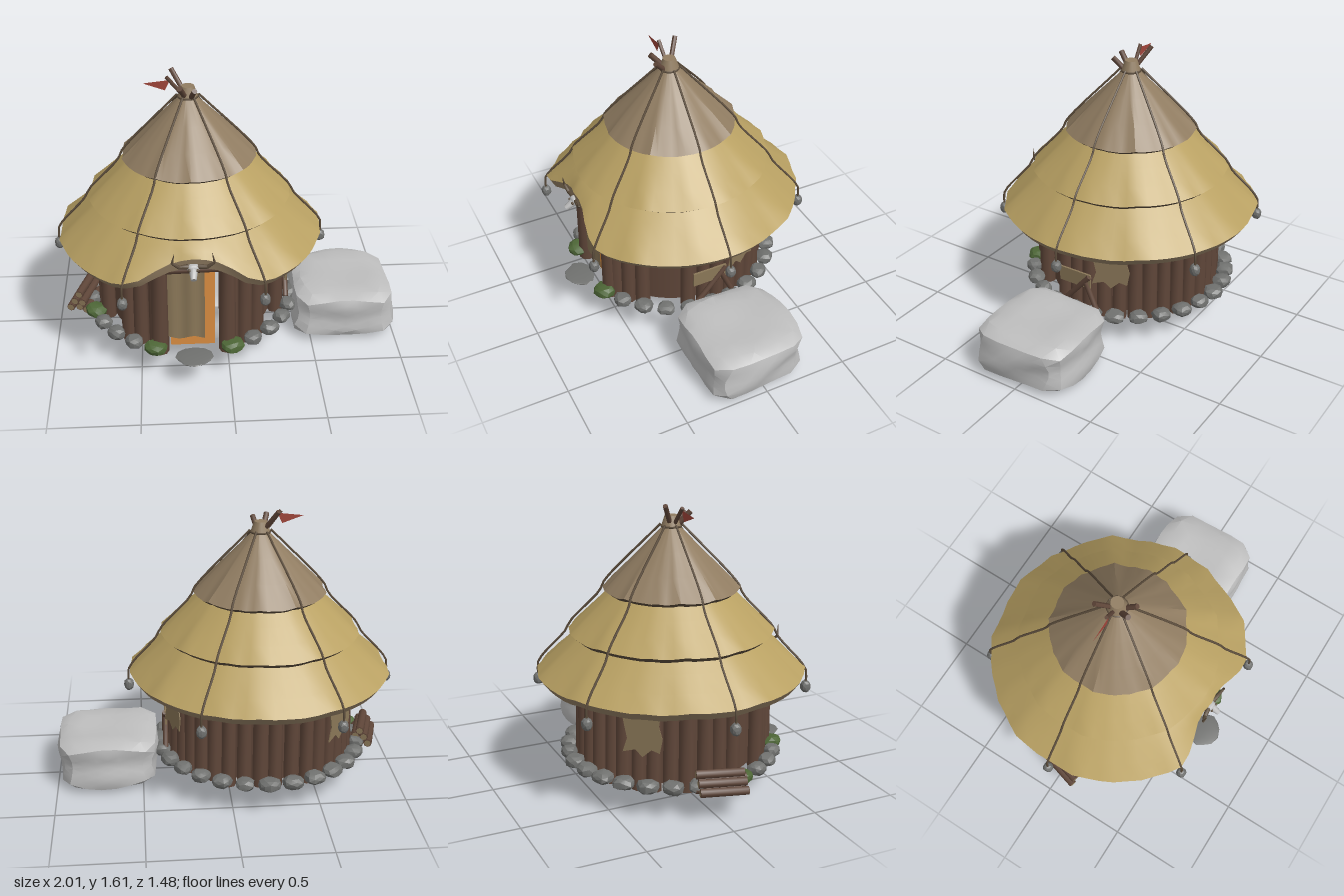
import * as THREE from 'three';
import { mergeVertices, toCreasedNormals } from 'three/addons/utils/BufferGeometryUtils.js';

const mat = (name, color, side = THREE.FrontSide) => {
  const m = new THREE.MeshStandardMaterial({ color, side });
  m.name = name;
  return m;
};

export function createModel() {
  const straw = mat('straw', 0xb9a163, THREE.DoubleSide);
  const oldThatch = mat('old thatch', 0x917d62, THREE.DoubleSide);
  const wood = mat('log wood', 0x5f4639, THREE.DoubleSide);
  const darkWood = mat('dark wood and rope', 0x5c4d3c, THREE.DoubleSide);
  const stone = mat('stone', 0x70716f);
  const moss = mat('moss', 0x4d6636);
  const paleRock = mat('pale rock', 0xbebebe);
  const glow = mat('lamp glow', 0xdc8f42, THREE.DoubleSide);
  const red = mat('red cloth', 0xa0453a, THREE.DoubleSide);
  const hide = mat('hide', 0x8a7758, THREE.DoubleSide);

  const model = new THREE.Group();
  const hut = new THREE.Group();
  hut.name = 'hut';
  hut.position.set(-0.2, 0, 0.015);
  model.add(hut);

  let seed = 7;
  const rand = (a, b) => {
    seed = (seed * 16807) % 2147483647;
    return a + (b - a) * seed / 2147483647;
  };
  const V = (x, y, z) => new THREE.Vector3(x, y, z);
  const deg = THREE.MathUtils.degToRad;
  // point around the hut; angle 0 is the front
  const around = (a, r, y) => V(Math.sin(a) * r, y, Math.cos(a) * r);
  const add = (name, geo, material, parent = hut) => {
    const m = new THREE.Mesh(geo, material);
    m.name = name;
    parent.add(m);
    return m;
  };
  // round pole between two points
  const pole = (name, a, b, r1, r2, material, parent = hut, sides = 8) => {
    const m = add(name, toCreasedNormals(new THREE.CylinderGeometry(r2, r1, a.distanceTo(b), sides), 0.9), material, parent);
    m.position.copy(a).lerp(b, 0.5);
    m.quaternion.setFromUnitVectors(V(0, 1, 0), b.clone().sub(a).normalize());
    return m;
  };
  // lump between a ball and a box, roughened by waves
  const rock = (sx, sy, sz, power, detail, phase, rough, crease) => {
    let g = new THREE.IcosahedronGeometry(1, detail);
    g.deleteAttribute('uv');
    g.deleteAttribute('normal');
    g = mergeVertices(g, 1e-4);
    const p = g.attributes.position, v = V(0, 0, 0);
    for (let i = 0; i < p.count; i++) {
      v.fromBufferAttribute(p, i);
      const n = Math.pow(Math.abs(v.x) ** power + Math.abs(v.y) ** power + Math.abs(v.z) ** power, -1 / power);
      const w = 1 + rough * (Math.sin(v.x * 4 + phase) * Math.cos(v.z * 3 + phase * 2) + 0.5 * Math.sin(v.y * 5 + v.z * 4 + phase) - 0.5);
      p.setXYZ(i, v.x * n * w * sx, v.y * n * w * sy, v.z * n * w * sz);
    }
    return toCreasedNormals(g, crease);
  };

  // boulders: one beside the hut, one under its floor
  const boulderGeo = rock(0.295, 0.147, 0.295, 7, 4, 1.2, 0.06, 0.5);
  add('sideBoulder', boulderGeo, paleRock, model).position.set(0.7, 0.155, 0.02);
  const under = add('underBoulder', boulderGeo, paleRock);
  under.position.set(0.01, 0.155, 0);
  under.rotation.y = Math.PI;

  // wall: open inner shell and upright logs
  const shell = add('innerWall', new THREE.CylinderGeometry(0.475, 0.475, 0.53, 36, 1, true, deg(20), deg(320)), wood);
  shell.position.y = 0.42;
  for (let i = 0; i < 36; i++) {
    const d = 5 + i * 10, fromFront = Math.min(d, 360 - d);
    if (fromFront < 25 || Math.abs(fromFront - 60) < 9) continue;
    const a = deg(d + rand(-1, 1)), r = rand(0.04, 0.049);
    pole('wallLog', around(a, 0.51, rand(0.12, 0.15)), around(a, 0.505, 0.72), r, r * 0.92, wood);
  }

  // thatch tiers: sloping straw with a darker rim and underside, both with the same uneven eave
  const tier = (name, r0, y0, r1, y1, thick, wave, arch, material, rimMaterial) => {
    const rs = r1 - r0, ys = y1 - y0;
    const layer = (part, profile, layerMaterial) => {
      const g = new THREE.LatheGeometry(profile.map(q => new THREE.Vector2(...q)), 60);
      const p = g.attributes.position;
      for (let i = 0; i < p.count; i++) {
        const x = p.getX(i), z = p.getZ(i), r = Math.hypot(x, z), a = Math.atan2(x, z);
        const t = Math.max(0, (r - r0) / rs);
        const lift = arch * Math.exp(-((a / 0.42) ** 4)) * (0.75 + 0.25 * Math.cos(a * 4));
        const w = wave * (Math.sin(a * 9) + 0.7 * Math.sin(a * 14 + 2) + 0.8 * Math.cos(a * 23));
        const k = 1 + t * (w * 0.6 / r1 + lift * rs / r1);
        p.setXYZ(i, x * k, p.getY(i) + t * (w * 0.6 + lift * ys), z * k);
      }
      add(name + part, toCreasedNormals(g, 0.6), layerMaterial);
    };
    layer('Slope', [0, 0.34, 0.67, 1].reverse().map(t => [r0 + rs * t, y0 + ys * t]), material);
    layer('Rim', [[r0 - 0.03, y0 - 0.05], [r1 - 0.03, y1 - thick], [r1, y1]], rimMaterial);
  };
  tier('lowerThatch', 0.5, 0.9, 0.755, 0.665, 0.042, 0.009, -0.56, straw, oldThatch);
  tier('middleThatch', 0.33, 1.13, 0.572, 0.897, 0.026, 0.007, 0, straw, darkWood);
  tier('upperThatch', 0.045, 1.475, 0.378, 1.132, 0.022, 0.007, 0, oldThatch, darkWood);
  add('roofCap', new THREE.CylinderGeometry(0.036, 0.058, 0.065, 14), oldThatch).position.y = 1.502;
  const ring = add('capRing', new THREE.TorusGeometry(0.055, 0.006, 6, 18), darkWood);
  ring.rotation.x = Math.PI / 2;
  ring.position.y = 1.474;

  // roof poles and flag
  pole('roofPole', V(0, 1.46, 0), V(-0.09, 1.605, -0.08), 0.014, 0.014, wood);
  pole('roofPole', V(-0.01, 1.46, 0.01), V(-0.045, 1.555, 0.095), 0.016, 0.016, wood);
  pole('roofPole', V(0.01, 1.46, 0.02), V(0.035, 1.54, 0.1), 0.015, 0.015, wood);
  pole('flagPole', V(-0.02, 1.47, 0), V(-0.115, 1.59, 0.01), 0.011, 0.011, wood);
  const flag = new THREE.Shape([[-0.095, 1.575], [-0.245, 1.558], [-0.125, 1.515]].map(q => new THREE.Vector2(...q)));
  add('flag', new THREE.ShapeGeometry(flag), red).position.z = 0.015;

  // six ropes weighted with hanging stones
  for (let i = 0; i < 6; i++) {
    const a = deg(30 + i * 60);
    const path = [[0.06, 1.485], [0.375, 1.155], [0.4, 1.1], [0.572, 0.915], [0.6, 0.86], [0.74, 0.705], [0.766, 0.66], [0.766, 0.58]];
    const curve = new THREE.CatmullRomCurve3(path.map(([r, y]) => around(a, r, y)));
    add('rope', new THREE.TubeGeometry(curve, 28, 0.0065, 6), darkWood);
    add('ropeStone', rock(0.029, 0.036, 0.029, 2.5, 1, i, 0.04, 0.2), stone).position.copy(around(a, 0.766, 0.565));
  }

  // foundation stones
  for (let i = 0; i < 25; i++) {
    const a = deg(21.5 + i * 13.2), mossy = [0, 20, 24].includes(i);
    const s = mossy ? 1.2 : rand(0.95, 1.15);
    const m = add(mossy ? 'mossyStone' : 'baseStone', rock(0.055 * s, 0.037, 0.05 * s, 2.6, 1, i * 1.7, 0.08, 0.35), mossy ? moss : stone);
    m.position.copy(around(a, 0.59, 0.187));
    m.rotation.y = a;
  }
  add('doorStep', rock(0.105, 0.01, 0.09, 2.3, 1, 2, 0.08, 0.3), stone).position.set(0, 0.168, 0.625);

  // doorway
  for (const s of [-1, 1]) pole('doorPost', V(s * 0.19, 0.13, 0.5), V(s * 0.185, 0.71, 0.5), 0.05, 0.045, wood);
  pole('lintel', V(-0.25, 0.695, 0.545), V(0.24, 0.705, 0.545), 0.027, 0.025, wood);
  pole('lintel', V(-0.2, 0.74, 0.54), V(0.21, 0.735, 0.54), 0.024, 0.022, wood);
  add('doorGlow', new THREE.BoxGeometry(0.25, 0.48, 0.008), glow).position.set(-0.005, 0.39, 0.475);
  const cloth = new THREE.PlaneGeometry(0.205, 0.46, 12, 4);
  const cp = cloth.attributes.position;
  for (let i = 0; i < cp.count; i++) {
    const x = cp.getX(i), y = cp.getY(i);
    cp.setZ(i, 0.006 * Math.sin(x * 60));
    if (y < -0.2) cp.setY(i, y + 0.01 * Math.sin(x * 50));
  }
  cloth.computeVertexNormals();
  add('doorCurtain', cloth, hide).position.set(-0.04, 0.45, 0.51);

  // horned skull over the door
  const skull = new THREE.Group();
  skull.name = 'skull';
  skull.position.set(0, 0.745, 0.615);
  hut.add(skull);
  add('skullHead', rock(0.034, 0.028, 0.026, 2.5, 2, 0, 0.03, 0.6), paleRock, skull);
  pole('muzzle', V(0, -0.038, 0.058), V(0, 0, 0), 0.016, 0.026, paleRock, skull);
  for (const s of [-1, 1]) {
    add('eyeSocket', new THREE.SphereGeometry(0.009, 8, 6), darkWood, skull).position.set(s * 0.022, 0, 0.023);
    const horn = [V(s * 0.025, 0.012, 0), V(s * 0.075, 0.012, 0.008), V(s * 0.113, 0.045, 0.018), V(s * 0.1, 0.11, 0.03)];
    for (let i = 0; i < 3; i++) pole('horn', horn[i], horn[i + 1], 0.015 - i * 0.004, i === 2 ? 0.001 : 0.011 - i * 0.004, darkWood, skull);
  }

  // barred windows on both sides
  for (const s of [-1, 1]) {
    const w = new THREE.Group();
    w.name = 'window';
    w.position.copy(around(s * deg(61), 0.485, 0.55));
    w.rotation.y = s * deg(61);
    hut.add(w);
    add('windowGlow', new THREE.BoxGeometry(0.105, 0.1, 0.008), glow, w);
    for (const y of [-0.033, 0.038]) pole('windowBar', V(-0.08, y, 0.02), V(0.08, y, 0.02), 0.007, 0.007, wood, w);
  }

  // stretched hides on the wall
  const hideShape = new THREE.Shape([[-0.115, 0.12], [-0.05, 0.1], [0.03, 0.105], [0.1, 0.13], [0.09, 0.05], [0.11, -0.02],
    [0.095, -0.1], [0.05, -0.085], [0, -0.13], [-0.04, -0.09], [-0.11, -0.11], [-0.085, -0.03], [-0.1, 0.04]].map(q => new THREE.Vector2(...q)));
  const hideGeo = new THREE.ExtrudeGeometry(hideShape, { depth: 0.006, bevelEnabled: false });
  for (const [d, y] of [[111, 0.485], [229, 0.47]]) {
    const m = add('wallHide', hideGeo, hide);
    m.position.copy(around(deg(d), 0.555, y));
    m.rotation.y = deg(d);
  }

  // board and props leaning on the side wall
  add('sideBoard', new THREE.BoxGeometry(0.012, 0.09, 0.21), hide).position.set(0.557, 0.375, 0.02);
  pole('boardProp', V(0.562, 0.2, 0.1), V(0.562, 0.41, -0.08), 0.016, 0.016, wood);
  pole('boardProp', V(0.562, 0.2, -0.13), V(0.56, 0.37, -0.05), 0.016, 0.016, wood);

  // firewood pile with pale cut ends
  const pile = new THREE.Group();
  pile.name = 'firewood';
  pile.position.set(-0.63, 0, 0);
  pile.rotation.y = -0.28;
  hut.add(pile);
  for (const [x, y] of [[-0.055, 0.18], [-0.005, 0.18], [0.045, 0.18], [-0.03, 0.222], [0.02, 0.224], [-0.005, 0.265]]) {
    const z = rand(-0.02, 0.02);
    pole('firewoodLog', V(x, y, z - 0.13), V(x, y, z + 0.13), 0.025, 0.024, wood, pile);
    for (const s of [-1, 1]) add('cutEnd', new THREE.CircleGeometry(0.02, 8), hide, pile).position.set(x, y, z + s * 0.132);
  }
  return model;
}
